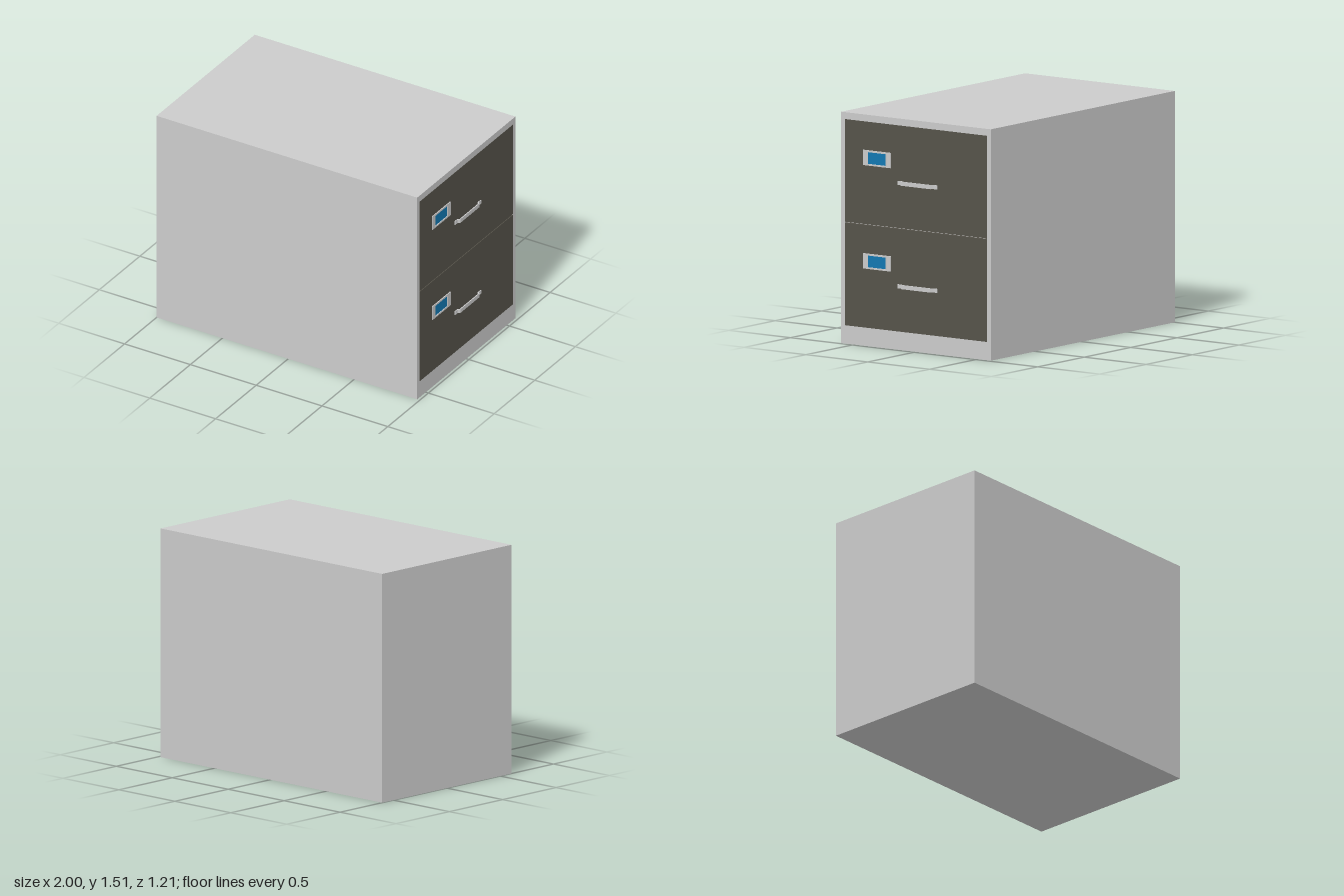
import * as THREE from 'three';

const FACE = 0.98, BACK = -1, H = 1.515, W = 1.21;
const RECESS = { bottom: 0.12, top: 1.47, half: 0.574, depth: 0.02 };
const DRAWER_STEP = 0.677;

const mat = (color) => new THREE.MeshStandardMaterial({ color, side: THREE.DoubleSide });

function add(parent, name, geometry, material) {
  const mesh = new THREE.Mesh(geometry, material);
  mesh.name = name;
  parent.add(mesh);
  return mesh;
}

// Box between x, y and z limits, optionally without its +x side
function box(x0, x1, y0, y1, z0, z1, open = false) {
  const g = new THREE.BoxGeometry(x1 - x0, y1 - y0, z1 - z0);
  if (open) g.setIndex(Array.from(g.index.array).slice(6));
  return g.translate((x0 + x1) / 2, (y0 + y1) / 2, (z0 + z1) / 2);
}

// Rectangular outline with a rectangular hole, in (-z, y)
function ring(z0, z1, y0, y1, hz0, hz1, hy0, hy1) {
  const corners = (a, b, c, d) => [[-b, c], [-a, c], [-a, d], [-b, d]].map((p) => new THREE.Vector2(...p));
  const shape = new THREE.Shape(corners(z0, z1, y0, y1));
  shape.holes.push(new THREE.Path(corners(hz0, hz1, hy0, hy1).reverse()));
  return shape;
}

// Plan outline given as [x, z], raised from y0 to y1
function raise(points, y0, y1) {
  const shape = new THREE.Shape(points.map(([x, z]) => new THREE.Vector2(x, -z)));
  return new THREE.ExtrudeGeometry(shape, { depth: y1 - y0, bevelEnabled: false })
    .rotateX(-Math.PI / 2).translate(0, y0, 0);
}

export function createModel() {
  const model = new THREE.Group();
  model.name = 'filingCabinet';
  const grey = mat(0xcccccc), dark = mat(0x56534a), blue = mat(0x1278b2);
  const { bottom, top, half, depth } = RECESS;

  // Cabinet shell, front rim and the shallow recess behind the drawers
  add(model, 'cabinetShell', box(BACK, FACE, 0, H, -W / 2, W / 2, true), grey);
  const rim = new THREE.ShapeGeometry(ring(-W / 2, W / 2, 0, H, -half, half, bottom, top));
  add(model, 'frontRim', rim.rotateY(Math.PI / 2).translate(FACE, 0, 0), grey);
  add(model, 'drawerRecess', box(FACE - depth, FACE, bottom, top, -half, half, true), grey);

  // Handle plan: flat feet, short bends and a raised grip
  const handlePlan = [
    [FACE, 0.145], [0.986, 0.145], [0.986, 0.118], [1, 0.105], [1, -0.13], [0.986, -0.145],
    [0.986, -0.175], [FACE, -0.175], [FACE, -0.14], [0.993, -0.127], [0.993, 0.102], [FACE, 0.115],
  ];

  // Two drawers, each with label holder and handle
  const seam = 0.795;
  [[bottom, seam - 0.003, 0, 'lower'], [seam + 0.003, top, DRAWER_STEP, 'upper']].forEach(([y0, y1, lift, name]) => {
    const drawer = new THREE.Group();
    drawer.name = name + 'Drawer';
    model.add(drawer);
    add(drawer, 'drawerFront', box(FACE - depth, FACE + 0.0005, y0, y1, -half, half), dark);

    const holder = new THREE.ExtrudeGeometry(
      ring(0.203, 0.425, 0.507, 0.607, 0.235, 0.395, 0.518, 0.595),
      { depth: 0.007, bevelEnabled: false },
    ).rotateY(Math.PI / 2).translate(FACE, lift, 0);
    add(drawer, 'labelHolder', holder, grey);
    add(drawer, 'label', box(FACE, FACE + 0.002, 0.518 + lift, 0.595 + lift, 0.235, 0.395), blue);
    // Sloped lips at both ends of the label
    for (const [outer, inner] of [[0.395, 0.386], [0.235, 0.244]]) {
      const lip = [[FACE, outer], [FACE + 0.007, outer], [FACE + 0.002, inner], [FACE, inner]];
      add(drawer, 'labelLip', raise(lip, 0.518 + lift, 0.595 + lift), grey);
    }

    add(drawer, 'handle', raise(handlePlan, 0.403 + lift, 0.43 + lift), grey);
  });

  return model;
}
